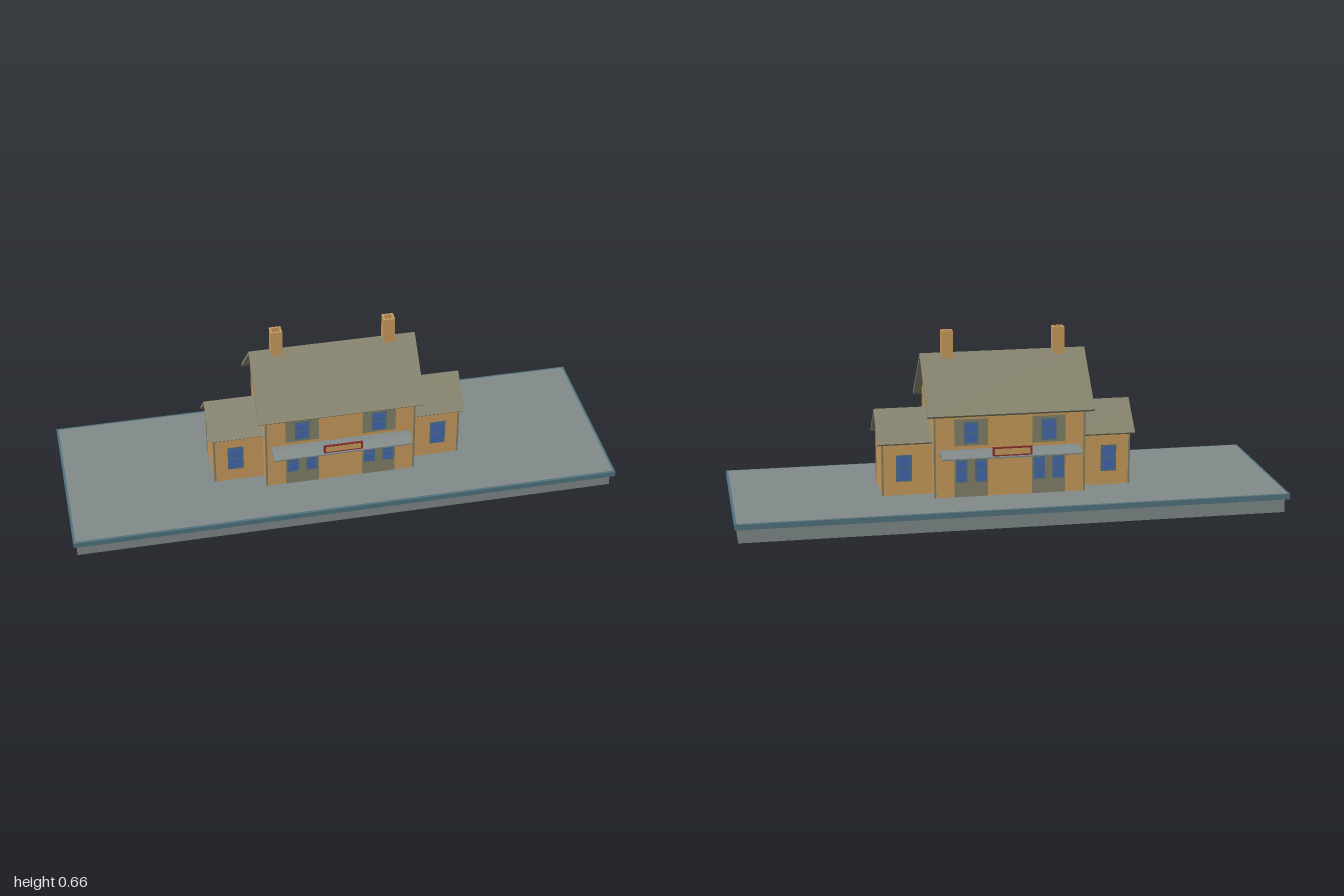
import * as THREE from 'three';

const mat = (name, color) => Object.assign(new THREE.MeshStandardMaterial({ color }), { name });

export function createModel() {
  const brick = mat('ochre brick', 0xc89b5c);
  const slate = mat('olive slate', 0x83816a);
  const stone = mat('grey stone', 0x808989);
  const edge = mat('teal edging', 0x517380);
  const frame = mat('window frame blue', 0x50708c);
  const glass = mat('window glass blue', 0x4468b0);
  const red = mat('sign red', 0x8c2f30);

  const model = new THREE.Group();
  model.name = 'stationBuilding';

  const add = (parent, name, geometry, material) => {
    const mesh = new THREE.Mesh(geometry, material);
    mesh.name = name;
    parent.add(mesh);
    return mesh;
  };
  // Box given by its limits on each axis
  const box = (parent, name, material, [x0, x1], [y0, y1], [z0, z1]) => {
    const mesh = add(parent, name, new THREE.BoxGeometry(x1 - x0, y1 - y0, z1 - z0), material);
    mesh.position.set((x0 + x1) / 2, (y0 + y1) / 2, (z0 + z1) / 2);
    return mesh;
  };
  // Profile of [z, y] points extruded along x
  const alongX = (parent, name, material, profile, x0, x1) => {
    const shape = new THREE.Shape(profile.map(([z, y]) => new THREE.Vector2(-z, y)));
    const geometry = new THREE.ExtrudeGeometry(shape, { depth: x1 - x0, bevelEnabled: false });
    geometry.rotateY(Math.PI / 2).translate(x0, 0, 0);
    return add(parent, name, geometry, material);
  };
  const rect = (w, d, Type = THREE.Shape) => new Type([
    new THREE.Vector2(-w, -d), new THREE.Vector2(w, -d),
    new THREE.Vector2(w, d), new THREE.Vector2(-w, d)]);
  // Upright rectangular tube
  const tube = (parent, name, material, w, d, t, y0, y1) => {
    const shape = rect(w, d);
    shape.holes.push(rect(w - t, d - t, THREE.Path));
    const geometry = new THREE.ExtrudeGeometry(shape, { depth: y1 - y0, bevelEnabled: false });
    geometry.rotateX(-Math.PI / 2).translate(0, y0, 0);
    return add(parent, name, geometry, material);
  };

  const floor = 0.075;

  // Hollow platform with an overhanging edge
  tube(model, 'platformWalls', stone, 0.988, 0.309, 0.008, 0, 0.055);
  tube(model, 'platformEdge', edge, 1, 0.332, 0.03, 0.055, floor);
  box(model, 'platformDeck', stone, [-0.97, 0.97], [0.055, floor], [-0.302, 0.302]);
  box(model, 'platformPaving', stone, [-0.992, 0.992], [floor - 0.001, floor + 0.001], [-0.324, 0.324]);

  // Gabled block: walls and pitched roof
  const gabled = (parent, name, x0, x1, r0, r1, depth, eave, peak, eaveZ, eaveY, t) => {
    alongX(parent, name + 'Walls', brick,
      [[-depth, floor], [depth, floor], [depth, eave], [0, peak], [-depth, eave]], x0, x1);
    const ridge = peak + t * 1.1;
    alongX(parent, name + 'Roof', slate, [
      [0, ridge], [eaveZ, eaveY + t * 0.7], [eaveZ - t * 0.7, eaveY], [0, peak],
      [-eaveZ + t * 0.7, eaveY], [-eaveZ, eaveY + t * 0.7]], r0, r1);
  };
  gabled(model, 'house', -0.275, 0.275, -0.304, 0.304, 0.155, 0.41, 0.565, 0.189, 0.38, 0.011);

  for (const s of [1, -1]) {
    // Side wing, mirrored by a half turn
    const wing = new THREE.Group();
    wing.name = s > 0 ? 'leftWing' : 'rightWing';
    wing.rotation.y = s > 0 ? 0 : Math.PI;
    model.add(wing);
    gabled(wing, 'wing', 0.27, 0.457, 0.27, 0.474, 0.095, 0.273, 0.368, 0.109, 0.266, 0.009);

    // Corner strips on the gable ends
    for (const z of [1, -1]) {
      box(wing, 'houseCornerStrip', slate, [0.27, 0.277], [floor, 0.412], [z * 0.151 - 0.0042, z * 0.151 + 0.0042]);
      box(wing, 'wingCornerStrip', slate, [0.452, 0.459], [floor, 0.276], [z * 0.091 - 0.0042, z * 0.091 + 0.0042]);
    }

    // Open chimney
    const chimney = tube(model, 'chimney', brick, 0.021, 0.019, 0.007, 0.55, 0.658);
    chimney.position.x = s * 0.205;
  }

  // Matching front and back facades
  for (const s of [1, -1]) {
    const facade = new THREE.Group();
    facade.name = s > 0 ? 'frontFacade' : 'backFacade';
    facade.rotation.y = s > 0 ? 0 : Math.PI;
    model.add(facade);

    const windowAt = (x, y0, y1, w, z) => {
      box(facade, 'windowFrame', frame, [x - w, x + w], [y0, y1], [z, z + 0.002]);
      const mid = (y0 + y1) / 2, g = w * 0.72;
      box(facade, 'upperPane', glass, [x - g, x + g], [mid + 0.004, y1 - 0.008], [z, z + 0.003]);
      box(facade, 'lowerPane', glass, [x - g, x + g], [y0 + 0.006, mid - 0.004], [z, z + 0.003]);
    };
    for (const m of [1, -1]) {
      const x = m * 0.142;
      box(facade, 'upperPanel', slate, [x - 0.061, x + 0.061], [0.267, 0.366], [0.154, 0.157]);
      box(facade, 'lowerPanel', slate, [x - 0.061, x + 0.061], [floor, 0.236], [0.154, 0.157]);
      windowAt(x, 0.275, 0.355, 0.027, 0.156);
      windowAt(x - 0.035, 0.13, 0.215, 0.021, 0.156);
      windowAt(x + 0.035, 0.13, 0.215, 0.021, 0.156);
      windowAt(m * 0.378, 0.127, 0.226, 0.029, 0.0945);
    }

    // Sloping canopy and its sign board
    alongX(facade, 'canopy', stone, [
      [0.154, 0.254], [0.176, 0.25], [0.211, 0.235], [0.211, 0.23],
      [0.172, 0.238], [0.164, 0.236], [0.154, 0.228]], -0.255, 0.255);
    box(facade, 'signBoard', red, [-0.072, 0.072], [0.235, 0.27], [0.202, 0.207]);
    box(facade, 'signFace', brick, [-0.064, 0.064], [0.242, 0.264], [0.206, 0.208]);
  }

  return model;
}
